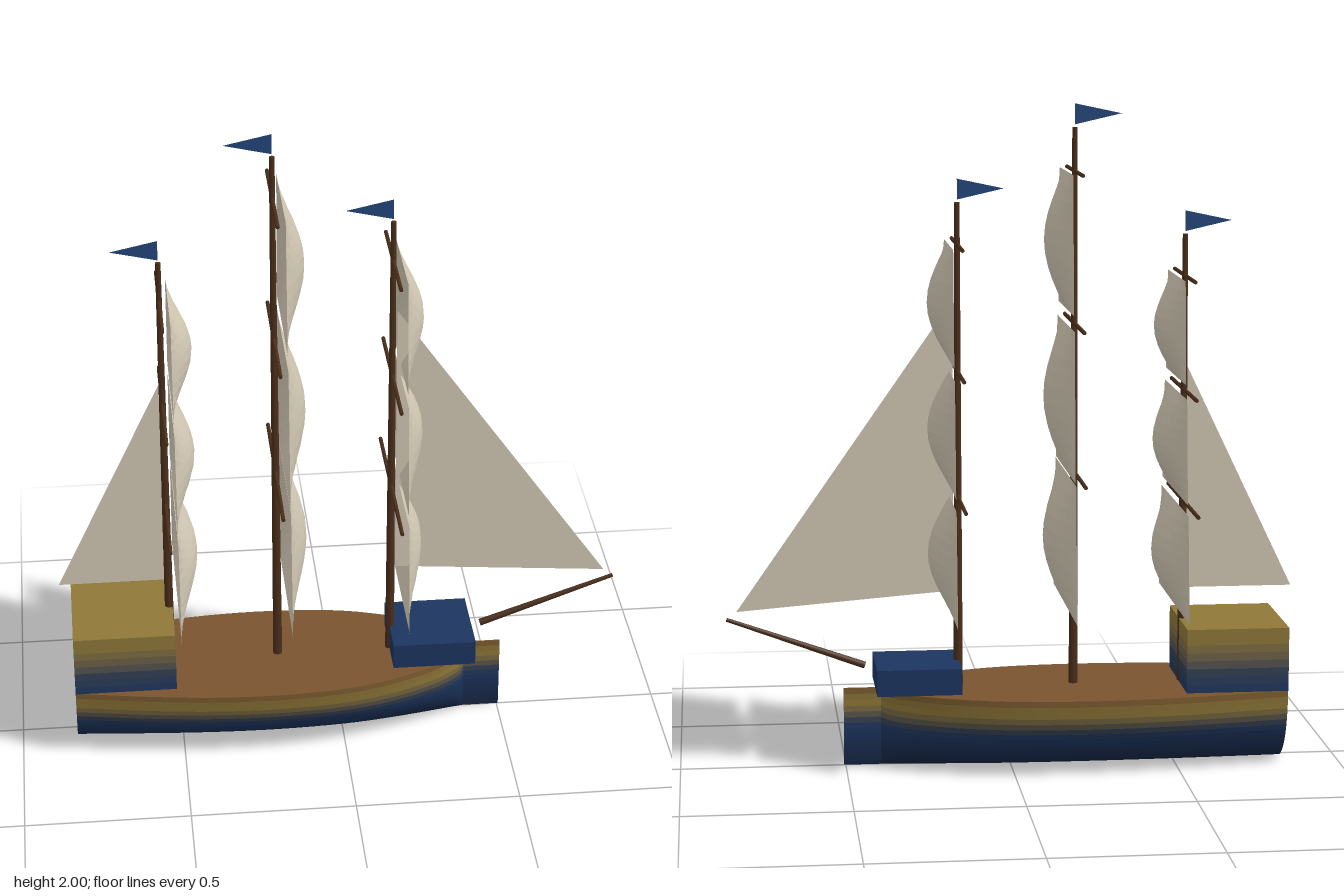
import * as THREE from 'three';
import { toCreasedNormals } from 'three/addons/utils/BufferGeometryUtils.js';
import { ParametricGeometry } from 'three/addons/geometries/ParametricGeometry.js';

const WOOD = 0x4a2e1a, DECK = 0x7a5430, GOLD = 0x8f7838, BLUE = 0x1c3560, NAVY = 0x14233d;
const CANVAS = 0xd2c8b4, FLAG = 0x24477c;
const DECK_Y = 0.24, STERN = -0.83;

const paint = (color, extra = {}) => new THREE.MeshStandardMaterial({ color, ...extra });

function add(parent, name, geometry, material) {
  const mesh = new THREE.Mesh(geometry, material);
  mesh.name = name;
  parent.add(mesh);
  return mesh;
}

// Wall of quads between an upper and a lower row of points
function strip(upper, lower) {
  const n = upper.length;
  const index = [];
  for (let i = 0; i < n - 1; i++) {
    index.push(i, i + 1, n + i, i + 1, n + i + 1, n + i);
  }
  const geometry = new THREE.BufferGeometry().setFromPoints([...upper, ...lower]);
  geometry.setIndex(index);
  return toCreasedNormals(geometry, 0.7);
}

// Colour at a given height from a list of [height, colour] stops
function shade(y, stops) {
  for (let i = 1; i < stops.length; i++) {
    const [y0, c0] = stops[i - 1], [y1, c1] = stops[i];
    if (y <= y1) {
      return new THREE.Color(c0).lerp(new THREE.Color(c1), Math.max(0, (y - y0) / (y1 - y0)));
    }
  }
  return new THREE.Color(stops[stops.length - 1][1]);
}

// Tapered round pole between two points
function pole(parent, name, from, to, r0, r1) {
  const dir = to.clone().sub(from);
  const mesh = add(parent, name, new THREE.CylinderGeometry(r1, r0, dir.length(), 8), paint(WOOD));
  mesh.position.copy(from).addScaledVector(dir, 0.5);
  mesh.quaternion.setFromUnitVectors(new THREE.Vector3(0, 1, 0), dir.normalize());
}

// Flat triangle in the fore-and-aft plane
function triangle(parent, name, points, color) {
  const shape = new THREE.Shape(points.map(([x, y]) => new THREE.Vector2(x, y)));
  add(parent, name, new THREE.ShapeGeometry(shape), paint(color, { side: THREE.DoubleSide }));
}

// Half-breadth of the hull at deck level, stern to bow, ending in a thin stem
function hullStations() {
  const curve = new THREE.SplineCurve([
    [STERN, 0.168], [-0.6, 0.208], [-0.4, 0.232], [-0.2, 0.238], [0, 0.222],
    [0.15, 0.183], [0.27, 0.13], [0.34, 0.082], [0.375, 0.045], [0.392, 0.002],
  ].map(([x, w]) => new THREE.Vector2(x, w)));
  return [...curve.getPoints(36), new THREE.Vector2(0.505, 0.002)];
}

function buildHull() {
  const hull = new THREE.Group();
  hull.name = 'hull';
  const stations = hullStations();
  const stops = [[0, NAVY], [0.06, 0x182c50], [0.12, BLUE], [0.145, 0x3a4450],
    [0.19, GOLD], [0.205, GOLD], [0.24, 0x75502c]];

  // Elliptical sections, planked in bands that run round the transom
  const row = (a) => {
    const y = DECK_Y * (1 - Math.sin(a)), k = Math.cos(a);
    const side = (s) => stations.map((p) => new THREE.Vector3(p.x, y, s * p.y * k));
    return [...side(1).reverse(), ...side(-1)];
  };
  const bands = 20;
  for (let i = 0; i < bands; i++) {
    const a0 = (i / bands) * Math.PI / 2, a1 = ((i + 1) / bands) * Math.PI / 2;
    const y = DECK_Y * (1 - Math.sin((a0 + a1) / 2));
    add(hull, 'hullBand', strip(row(a0), row(a1)), paint(shade(y, stops)));
  }

  // Deck
  const outline = [...stations, ...stations.map((p) => new THREE.Vector2(p.x, -p.y)).reverse()];
  const deck = add(hull, 'deck', new THREE.ShapeGeometry(new THREE.Shape(outline)),
    paint(DECK, { side: THREE.DoubleSide }));
  deck.rotation.x = -Math.PI / 2;
  deck.position.y = DECK_Y;
  return hull;
}

// Raised stern cabin, shaded from blue up to gold
function buildSternCabin() {
  const cabin = new THREE.Group();
  cabin.name = 'sternCabin';
  const x0 = STERN, x1 = -0.52, w = 0.172, top = 0.435, bands = 8;
  const ring = (y) => [[x1, w], [x0, w], [x0, -w], [x1, -w], [x1, w]]
    .map(([x, z]) => new THREE.Vector3(x, y, z));
  const stops = [[DECK_Y, BLUE], [0.3, 0x2f4056], [0.4, GOLD], [top, GOLD]];
  const step = (top - DECK_Y) / bands;
  for (let i = 0; i < bands; i++) {
    const y = DECK_Y + i * step;
    add(cabin, 'cabinWall', strip(ring(y + step), ring(y)), paint(shade(y + step / 2, stops)));
  }
  const roof = add(cabin, 'cabinRoof', new THREE.PlaneGeometry(x1 - x0, 2 * w), paint(GOLD));
  roof.rotation.x = -Math.PI / 2;
  roof.position.set((x0 + x1) / 2, top, 0);
  return cabin;
}

// Square sail bellied forward, narrower at its head
function sailGeometry(top, bottom, headHalf, footHalf) {
  return new ParametricGeometry((u, v, p) => {
    const half = THREE.MathUtils.lerp(footHalf, headHalf, v);
    const belly = 0.066 * Math.sin(Math.PI * u) * Math.sin(Math.PI * v);
    p.set(0.025 + belly, THREE.MathUtils.lerp(bottom, top, v), (1 - 2 * u) * half);
  }, 10, 10);
}

// Mast with three yards, three square sails and a pennant
function buildMast(name, x, top, sails) {
  const mast = new THREE.Group();
  mast.name = name;
  mast.position.x = x;
  pole(mast, 'mastPole', new THREE.Vector3(0, DECK_Y, 0), new THREE.Vector3(0, top, 0), 0.014, 0.008);

  const widths = [[0.26, 0.30, 0.29], [0.215, 0.247, 0.24], [0.167, 0.195, 0.195]];
  sails.forEach(([foot, head], i) => {
    const [headHalf, footHalf, yardHalf] = widths[i];
    add(mast, 'squareSail', sailGeometry(head, foot, headHalf, footHalf),
      paint(CANVAS, { side: THREE.DoubleSide, flatShading: true }));
    pole(mast, 'yard', new THREE.Vector3(0, head, -yardHalf), new THREE.Vector3(0, head, yardHalf),
      0.006, 0.006);
  });
  triangle(mast, 'pennant', [[0, top + 0.07], [-0.14, top + 0.04], [0, top + 0.008]], FLAG);
  return mast;
}

export function createModel() {
  const ship = new THREE.Group();
  ship.name = 'sailingShip';
  ship.add(buildHull(), buildSternCabin());

  // Low forecastle and bowsprit
  const fore = add(ship, 'forecastle', new THREE.BoxGeometry(0.255, 0.08, 0.252), paint(BLUE));
  fore.position.set(0.282, 0.281, 0);
  pole(ship, 'bowsprit', new THREE.Vector3(0.44, 0.31, 0), new THREE.Vector3(0.855, 0.46, 0), 0.011, 0.006);

  // Masts, sails listed from the lowest up as [foot, head]
  ship.add(
    buildMast('mizzenMast', -0.53, 1.61, [[0.48, 0.8], [0.83, 1.14], [1.18, 1.485]]),
    buildMast('mainMast', -0.196, 1.93, [[0.485, 0.895], [0.9, 1.345], [1.39, 1.8]]),
    buildMast('foreMast', 0.156, 1.71, [[0.48, 0.825], [0.86, 1.205], [1.24, 1.585]]),
  );

  // Fore-and-aft sails
  triangle(ship, 'jib', [[0.17, 1.42], [0.17, 0.535], [0.825, 0.483]], CANVAS);
  triangle(ship, 'spanker', [[-0.54, 1.21], [-0.865, 0.53], [-0.54, 0.53]], CANVAS);
  return ship;
}
